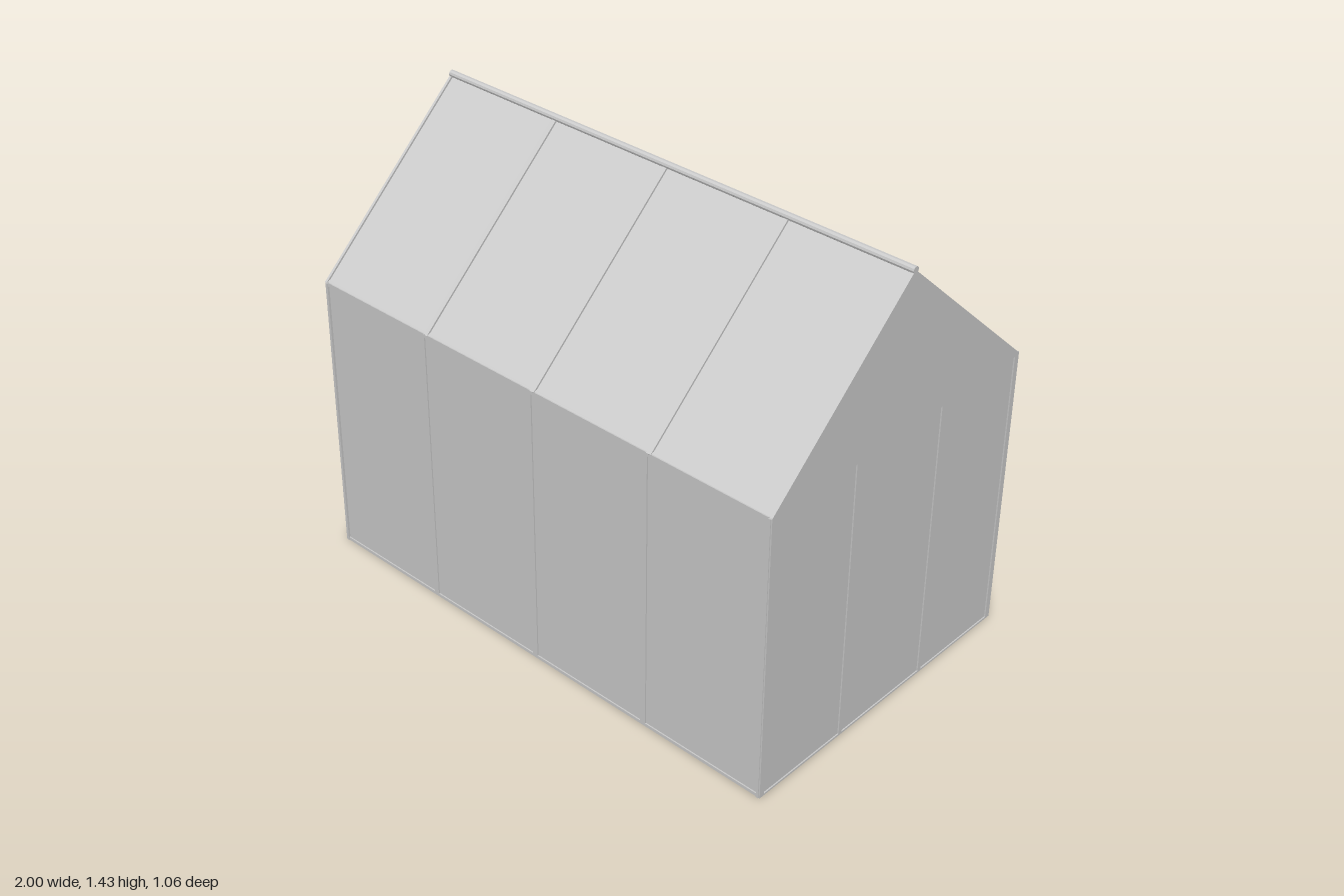
import * as THREE from 'three';

const X0 = -0.69, X1 = 1.0, Z = 0.53, EAVE = 0.93, RIDGE = 1.415;
const LEN = X1 - X0, MID = (X0 + X1) / 2, T = 0.008, BAR = 0.018;
const SEAMS = [-0.275, 0.147, 0.572]; // bay divisions along the length

export function createModel() {
  const model = new THREE.Group();
  const mat = new THREE.MeshStandardMaterial({ color: 0xcccccc, flatShading: true, side: THREE.DoubleSide });

  const add = (parent, name, geometry, x, y, z) => {
    const mesh = new THREE.Mesh(geometry, mat);
    mesh.name = name;
    mesh.position.set(x, y, z);
    parent.add(mesh);
    return mesh;
  };
  const box = (parent, name, w, h, d, x, y, z) =>
    add(parent, name, new THREE.BoxGeometry(w, h, d), x, y, z);

  // Floor slab
  box(model, 'floor', LEN, 0.006, 2 * Z, MID, 0.003, 0);

  // Long walls: panes set just behind posts and rails
  for (const s of [1, -1]) {
    const wall = new THREE.Group();
    wall.name = s > 0 ? 'frontWall' : 'backWall';
    model.add(wall);
    const edges = [X0, ...SEAMS, X1];
    for (let i = 0; i < 4; i++) {
      const w = edges[i + 1] - edges[i];
      box(wall, 'wallPane', w, EAVE - 0.01, T, edges[i] + w / 2, EAVE / 2, s * (Z - 0.008));
    }
    for (const x of SEAMS) box(wall, 'wallPost', BAR, EAVE, BAR, x, EAVE / 2, s * (Z - BAR / 2));
    for (const x of [X0 + 0.006, X1 - 0.006])
      box(wall, 'cornerPost', 0.012, EAVE, BAR, x, EAVE / 2, s * (Z - BAR / 2));
    box(wall, 'eaveRail', LEN, 0.012, 0.014, MID, EAVE - 0.004, s * (Z - 0.007));
    box(wall, 'baseRail', LEN, 0.01, 0.012, MID, 0.005, s * (Z - 0.006));
  }

  // End walls with gables; the end at -x keeps its doorway open
  for (const s of [1, -1]) {
    const end = new THREE.Group();
    end.name = s > 0 ? 'leftEnd' : 'doorEnd';
    model.add(end);
    const x = s > 0 ? X1 - 0.008 : X0 + 0.008;
    for (const z of [-0.355, 0, 0.355]) {
      if (s < 0 && z === 0) continue;
      box(end, 'endPane', T, EAVE, 0.355, x, EAVE / 2, z);
    }
    for (const z of [-0.183, 0.183])
      box(end, 'endPost', 0.012, EAVE, 0.014, x + s * 0.002, EAVE / 2, z);
    box(end, 'gableRail', 0.012, 0.01, 2 * Z, x + s * 0.002, EAVE - 0.002, 0);

    const tri = new THREE.Shape([
      new THREE.Vector2(-Z, EAVE), new THREE.Vector2(Z, EAVE), new THREE.Vector2(0, RIDGE)]);
    const gable = new THREE.ExtrudeGeometry(tri, { depth: T, bevelEnabled: false });
    gable.rotateY(Math.PI / 2);
    add(end, 'gable', gable, s > 0 ? X1 - T : X0, 0, 0);
  }

  // Roof slopes: local z runs down from the ridge, local y is outward
  const run = Math.hypot(Z, RIDGE - EAVE), pitch = Math.atan2(RIDGE - EAVE, Z);
  for (const s of [1, -1]) {
    const slope = new THREE.Group();
    slope.name = s > 0 ? 'frontRoof' : 'backRoof';
    slope.position.set(MID, RIDGE, 0);
    slope.rotation.x = s * pitch;
    model.add(slope);
    box(slope, 'roofPane', LEN, T, run, 0, s > 0 ? -0.008 : -T / 2, s * run / 2);
    // Bars stand proud on the front slope and sit beneath the back one
    const y = s > 0 ? -0.004 : -0.012;
    for (const x of SEAMS) box(slope, 'roofBar', 0.015, 0.012, run, x + 0.015 - MID, y, s * run / 2);
    for (const e of [-1, 1])
      box(slope, 'vergeBar', 0.008, 0.012, run, e * (LEN / 2 - 0.004), y, s * run / 2);
    box(slope, 'roofEdge', LEN, 0.01, 0.01, 0, -0.006, s * (run - 0.006));
  }

  // Ridge pole
  const pole = new THREE.CylinderGeometry(0.011, 0.011, LEN, 10);
  pole.rotateZ(Math.PI / 2);
  add(model, 'ridgePole', pole, MID, RIDGE, 0);

  // Open door, hinged on the front side of the doorway
  const door = new THREE.Group();
  door.name = 'door';
  door.position.set(X0, 0, 0.174);
  door.rotation.y = Math.atan2(0.145, -0.31) * -1;
  door.rotation.y = Math.PI - Math.atan2(0.142, 0.306);
  model.add(door);
  box(door, 'doorPanel', 0.338, EAVE, 0.01, 0.169, EAVE / 2, 0);

  return model;
}
